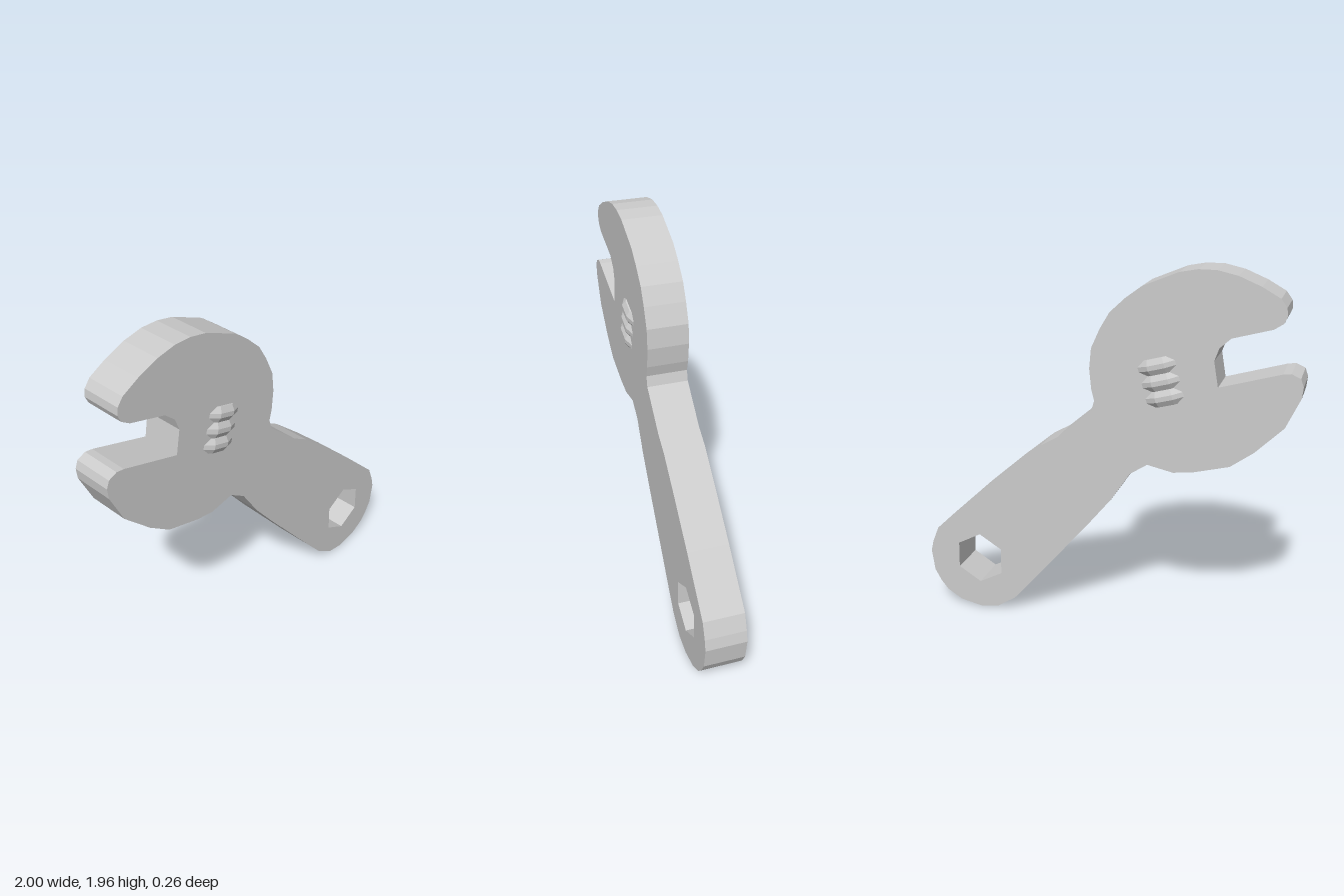
import * as THREE from 'three';

const material = new THREE.MeshStandardMaterial({ color: 0xcccccc, flatShading: true });

const toPoints = (pairs) => pairs.map(([x, y]) => new THREE.Vector2(x, y));

// Wrench outline, clockwise from the tip of the upper jaw
const outline = [
  // upper jaw and round back of the head
  [-0.90, 1.81], [-0.87, 1.85], [-0.78, 1.90], [-0.67, 1.945], [-0.57, 1.967], [-0.48, 1.967],
  [-0.39, 1.95], [-0.21, 1.875], [-0.13, 1.815], [-0.05, 1.74], [0, 1.655], [0.045, 1.555],
  [0.055, 1.45], [0.045, 1.345], [0.03, 1.285], [0.045, 1.23],
  // handle, down the right edge, around the end and back up
  [0.23, 1.07], [0.325, 1.015], [0.5, 0.87], [0.705, 0.69], [0.95, 0.46], [0.985, 0.375],
  [1, 0.315], [0.985, 0.195], [0.95, 0.13], [0.91, 0.08], [0.83, 0.03], [0.71, 0.005],
  [0.605, 0.02], [0.5, 0.09], [0.395, 0.21], [0.065, 0.60], [-0.06, 0.755], [-0.16, 0.91],
  // lower jaw
  [-0.25, 0.97], [-0.385, 0.942], [-0.485, 0.955], [-0.67, 1.005], [-0.785, 1.09], [-0.925, 1.23],
  [-0.995, 1.385], [-1, 1.44], [-0.985, 1.48], [-0.94, 1.50], [-0.90, 1.495],
  // jaw opening
  [-0.595, 1.405], [-0.572, 1.535], [-0.595, 1.60], [-0.65, 1.65], [-0.845, 1.705], [-0.89, 1.735],
  [-0.905, 1.77],
];

// Hexagonal hole near the end of the handle
function hexHole(cx, cy, r, turn) {
  const corners = [];
  for (let i = 0; i < 6; i++) {
    const a = turn + (i * Math.PI) / 3;
    corners.push([cx + r * Math.cos(a), cy + r * Math.sin(a)]);
  }
  return new THREE.Path(toPoints(corners));
}

function makeBody() {
  const depth = 0.214;
  const shape = new THREE.Shape(toPoints(outline));
  shape.holes.push(hexHole(0.702, 0.307, 0.146, Math.PI / 2 + 0.03));
  const geometry = new THREE.ExtrudeGeometry(shape, { depth, bevelEnabled: false });
  geometry.translate(0, 0, -depth / 2);
  const mesh = new THREE.Mesh(geometry, material);
  mesh.name = 'wrenchBody';
  return mesh;
}

// Ridged adjusting screw, showing through both faces of the head
function makeScrew() {
  const half = 0.122, ridges = 3, step = (2 * half) / ridges;
  const profile = [[0, -half], [0.119, -half]];
  for (let i = 0; i < ridges; i++) {
    const y = -half + i * step;
    profile.push([0.136, y + step * 0.35], [0.136, y + step * 0.65], [0.119, y + step]);
  }
  profile.push([0, half]);
  const geometry = new THREE.LatheGeometry(toPoints(profile), 12, Math.PI / 12);
  geometry.scale(1.25, 1, 1);
  const mesh = new THREE.Mesh(geometry, material);
  mesh.name = 'adjustingScrew';
  mesh.position.set(-0.312, 1.41, 0);
  mesh.rotation.z = -0.27;
  return mesh;
}

export function createModel() {
  const group = new THREE.Group();
  group.name = 'adjustableWrench';
  group.add(makeBody(), makeScrew());
  return group;
}
